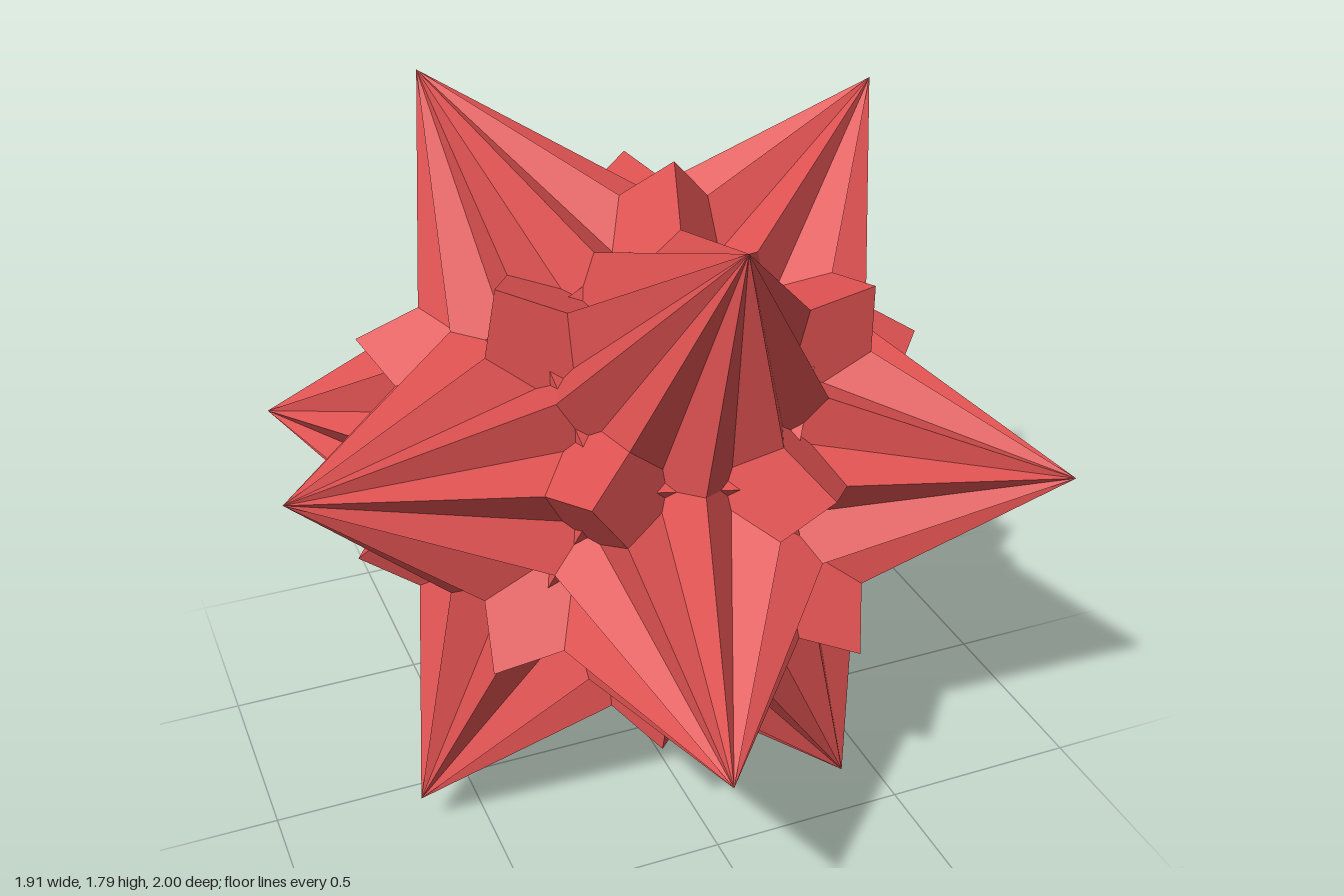
import * as THREE from 'three';

const TIP = 1.05;               // radius of the 12 long spikes
const BUMP = TIP * 0.7134;      // radius of the 20 blunt three-sided corners
const CENTRE_Y = 0.895;

// 12 icosahedral directions: a pole, a ring of five around it, and their opposites
function spikeTips() {
  const pole = new THREE.Vector3(-0.42, 0.895, -0.36).normalize();
  const side = new THREE.Vector3(-0.05, 0.795, 0.67).projectOnPlane(pole).normalize();
  const dirs = [pole];
  for (let k = 0; k < 5; k++) {
    const out = side.clone().applyAxisAngle(pole, k * Math.PI * 2 / 5);
    dirs.push(pole.clone().addScaledVector(out, 2).normalize());
  }
  return [...dirs, ...dirs.map(d => d.clone().negate())].map(d => d.multiplyScalar(TIP));
}

export function createModel() {
  const tips = spikeTips();
  const points = [];

  // one triangle, wound so that it faces away from the centre
  const addFace = (a, b, c) => {
    const normal = b.clone().sub(a).cross(c.clone().sub(a));
    const corners = normal.dot(a) > 0 ? [a, b, c] : [a, c, b];
    corners.forEach(p => points.push(p.x, p.y, p.z));
  };

  // tips two steps apart are joined by the long ridges
  const joined = (a, b) => Math.abs(a.dot(b) / (TIP * TIP) + 1 / Math.sqrt(5)) < 0.01;

  // each ring of three joined tips carries a pyramid whose apex passes through the centre
  for (let i = 0; i < 12; i++)
    for (let j = i + 1; j < 12; j++)
      for (let k = j + 1; k < 12; k++) {
        const [a, b, c] = [tips[i], tips[j], tips[k]];
        if (!joined(a, b) || !joined(b, c) || !joined(a, c)) continue;
        const apex = a.clone().add(b).add(c).setLength(BUMP).negate();
        addFace(apex, a, b);
        addFace(apex, b, c);
        addFace(apex, c, a);
      }

  const geometry = new THREE.BufferGeometry();
  geometry.setAttribute('position', new THREE.Float32BufferAttribute(points, 3));
  geometry.computeVertexNormals();

  const material = new THREE.MeshStandardMaterial({
    color: 0xe05252, flatShading: true, side: THREE.DoubleSide,
  });
  const star = new THREE.Mesh(geometry, material);
  star.name = 'starPolyhedron';
  star.position.y = CENTRE_Y;

  const group = new THREE.Group();
  group.name = 'spikedStar';
  group.add(star);
  return group;
}
